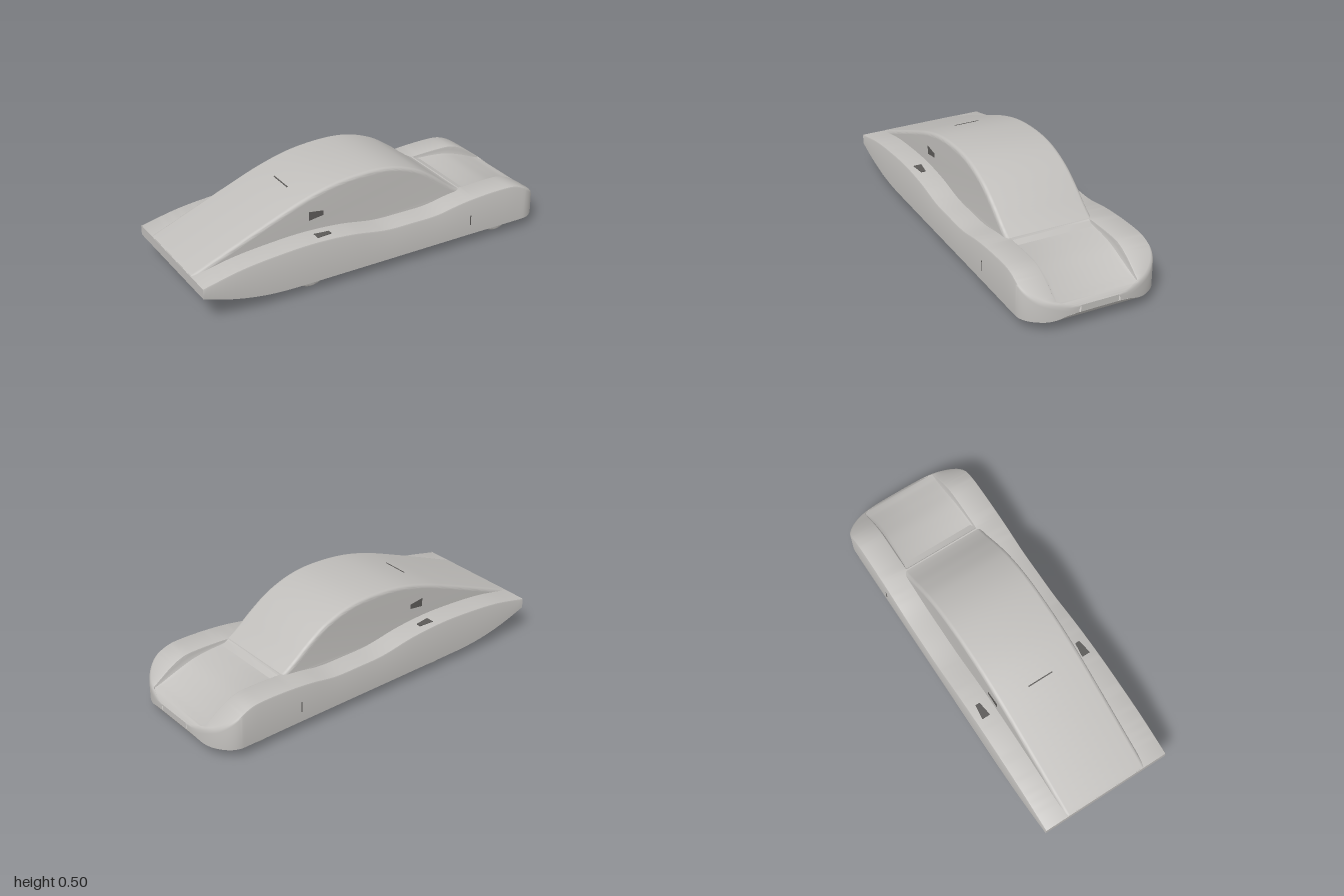
import * as THREE from 'three';
import { toCreasedNormals } from 'three/addons/utils/BufferGeometryUtils.js';

const paint = new THREE.MeshStandardMaterial({ color: 0xc0bebb, side: THREE.DoubleSide });
paint.name = 'body grey';
const dark = new THREE.MeshStandardMaterial({ color: 0x5c5a58, side: THREE.DoubleSide });
dark.name = 'opening grey';

// Smooth height curve through [x, y] points
function profile(pts) {
  const slope = (i) => {
    const a = pts[Math.max(i - 1, 0)], b = pts[Math.min(i + 1, pts.length - 1)];
    return (b[1] - a[1]) / (b[0] - a[0]);
  };
  return (x) => {
    let i = 0;
    while (i < pts.length - 2 && x > pts[i + 1][0]) i++;
    const [x0, y0] = pts[i], [x1, y1] = pts[i + 1], h = x1 - x0;
    const t = THREE.MathUtils.clamp((x - x0) / h, 0, 1), t2 = t * t, t3 = t2 * t;
    return (2 * t3 - 3 * t2 + 1) * y0 + (t3 - 2 * t2 + t) * h * slope(i)
      + (3 * t2 - 2 * t3) * y1 + (t3 - t2) * h * slope(i + 1);
  };
}

const fender = profile([[-1, 0.198], [-0.8, 0.241], [-0.6, 0.262], [-0.4, 0.27], [-0.2, 0.258], [0, 0.227],
  [0.15, 0.224], [0.3, 0.226], [0.45, 0.25], [0.6, 0.263], [0.75, 0.265], [0.8, 0.257], [0.85, 0.236],
  [0.9, 0.205], [0.95, 0.168], [0.98, 0.145], [1, 0.12]]);
const hood = profile([[0.5, 0.245], [0.57, 0.24], [0.66, 0.234], [0.75, 0.22], [0.85, 0.187],
  [0.93, 0.157], [0.98, 0.14], [1, 0.12]]);
const belly = profile([[-1, 0.145], [-0.9, 0.112], [-0.8, 0.086], [-0.7, 0.068], [-0.6, 0.058], [-0.5, 0.055],
  [0.5, 0.055], [0.96, 0.055], [0.985, 0.062], [1, 0.085]]);
const halfWidth = (x) => x < 0.85 ? 0.36 : 0.11 + 0.25 * Math.sqrt(Math.max(0, 1 - ((x - 0.85) / 0.15) ** 2));

// Skin through cross-sections of [z, y] points
function loft(xs, section) {
  const pos = [], idx = [];
  let n = 0;
  xs.forEach((x) => {
    const s = section(x);
    n = s.length;
    s.forEach(([z, y]) => pos.push(x, y, z));
  });
  for (let j = 0; j < xs.length - 1; j++) {
    for (let k = 0; k < n - 1; k++) {
      const a = j * n + k, b = a + n;
      idx.push(a, b, b + 1, a, b + 1, a + 1);
    }
  }
  const g = new THREE.BufferGeometry();
  g.setAttribute('position', new THREE.Float32BufferAttribute(pos, 3));
  g.setIndex(idx);
  return toCreasedNormals(g, 0.7);
}

function bodySection(x) {
  const w = halfWidth(x), f = fender(x), b = belly(x);
  const c = x < 0.54 ? f : Math.min(f, hood(x));
  const i = Math.min(0.215, w - 0.04);
  const step = f - c, r = Math.min(0.008, step * 0.3), q = Math.min(0.03, step * 0.6);
  const e = x > 0.85 ? 0.009 + 0.013 * Math.min(1, (x - 0.85) / 0.1) : 0.009;
  const half = [[w, b], [w, f - e], [w - e * 0.3, f - e * 0.3], [w - e, f], [i + r, f], [i + r * 0.3, f - r * 0.3],
    [i, f - r], [i, c + q], [i - q * 0.3, c + q * 0.3], [i - q, c], [0, c]];
  return [...half, ...half.slice(0, -1).reverse().map(([z, y]) => [-z, y])];
}
const floorSection = (x) => [[-halfWidth(x), belly(x)], [halfWidth(x), belly(x)]];

const range = (a, b, n) => Array.from({ length: n + 1 }, (_, i) => a + (b - a) * i / n);
const noseXs = range(0, Math.PI / 2, 24).map((t) => 0.85 + 0.15 * Math.sin(t));

// Tapered opening outline, wide end at the back
function ventGeometry() {
  const s = new THREE.Shape([[-0.37, 0.023], [-0.37, -0.023], [-0.29, -0.012], [-0.29, 0.012]]
    .map(([x, y]) => new THREE.Vector2(x, y)));
  return new THREE.ExtrudeGeometry(s, { depth: 0.006, bevelEnabled: false }).translate(0, 0, -0.003);
}

export function createModel() {
  const car = new THREE.Group();
  car.name = 'car';
  const add = (name, geometry, material = paint) => {
    const m = new THREE.Mesh(geometry, material);
    m.name = name;
    car.add(m);
    return m;
  };

  // Lower body with raised fenders and sunken hood
  add('lowerBody', loft([...range(-1, 0.53, 60), ...range(0.545, 0.84, 16), ...noseXs], bodySection));
  const tail = add('tailPanel', new THREE.PlaneGeometry(0.72, 0.053));
  tail.position.set(-1, 0.1715, 0);
  tail.rotation.y = -Math.PI / 2;
  const nose = add('nosePanel', new THREE.PlaneGeometry(0.2, 0.035));
  nose.position.set(1, 0.1025, 0);
  nose.rotation.y = Math.PI / 2;

  // Underside, with openings for the wheels
  const flatEnd = 0.96;
  add('rearUnderside', loft(range(-1, -0.5, 20), floorSection));
  add('frontUnderside', loft(range(flatEnd, 1, 10), floorSection));
  const edge = [-0.5, ...noseXs.filter((x) => x < flatEnd), flatEnd].map((x) => [x, halfWidth(x)]);
  const floor = new THREE.Shape([...edge.map(([x, z]) => new THREE.Vector2(x, -z)),
    ...edge.reverse().map(([x, z]) => new THREE.Vector2(x, z))]);
  const axles = [-0.4, 0.715];
  for (const x of axles) for (const side of [1, -1]) {
    const z = side * 0.283, hx = 0.098, hz = 0.045;
    floor.holes.push(new THREE.Path([[x - hx, z - hz], [x - hx, z + hz], [x + hx, z + hz], [x + hx, z - hz]]
      .map(([a, b]) => new THREE.Vector2(a, b))));
  }
  add('floor', new THREE.ShapeGeometry(floor).rotateX(Math.PI / 2)).position.y = 0.055;

  // Wheels and wheel wells
  const wheelGeometry = toCreasedNormals(new THREE.LatheGeometry(
    [[0, -0.026], [0.085, -0.026], [0.092, -0.023], [0.095, -0.016], [0.095, 0.016], [0.092, 0.023],
      [0.085, 0.026], [0, 0.026]].map(([r, y]) => new THREE.Vector2(r, y)), 48), 0.9).rotateX(Math.PI / 2);
  const wellGeometry = new THREE.BoxGeometry(0.196, 0.14, 0.09);
  const faces = Array.from(wellGeometry.index.array);
  wellGeometry.setIndex([...faces.slice(0, 18), ...faces.slice(24)]);
  wellGeometry.clearGroups();
  for (const x of axles) for (const side of [1, -1]) {
    const label = (x > 0 ? 'front' : 'rear') + (side > 0 ? 'A' : 'B');
    add(label + 'Wheel', wheelGeometry).position.set(x, 0.095, side * 0.283);
    add(label + 'WheelWell', wellGeometry).position.set(x, 0.125, side * 0.283);
  }

  // Cabin with rounded roof edges
  const roof = new THREE.SplineCurve([[-0.998, 0.2], [-0.8, 0.281], [-0.6, 0.362], [-0.4, 0.438], [-0.22, 0.485],
    [-0.03, 0.501], [0.12, 0.487], [0.26, 0.438], [0.37, 0.368], [0.46, 0.298], [0.52, 0.259], [0.58, 0.237]]
    .map(([x, y]) => new THREE.Vector2(x, y))).getPoints(70);
  const cabin = new THREE.Shape([...roof, new THREE.Vector2(0.58, 0.15), new THREE.Vector2(-0.75, 0.13),
    new THREE.Vector2(-0.998, 0.17)]);
  const r = 0.02;
  add('cabin', toCreasedNormals(new THREE.ExtrudeGeometry(cabin, {
    depth: 0.474 - 2 * r, bevelThickness: r, bevelSize: r, bevelOffset: -r, bevelSegments: 5,
  }).translate(0, 0, -0.237 + r), 0.6));

  // Tapered vents on the cabin sides and fender tops, and door slots
  for (const side of [1, -1]) {
    add('cabinVent', ventGeometry(), dark).position.set(0, 0.347, side * 0.236);
    add('fenderVent', ventGeometry().rotateX(-Math.PI / 2), dark).position.set(0, 0.268, side * 0.302);
    add('doorSlot', new THREE.BoxGeometry(0.005, 0.055, 0.004), dark).position.set(0.51, 0.138, side * 0.36);
  }

  // Slot above the rear deck
  const slot = add('rearSlot', new THREE.BoxGeometry(0.006, 0.004, 0.14), dark);
  slot.position.set(-0.395, 0.44, 0);
  slot.rotation.z = 0.33;

  return car;
}
